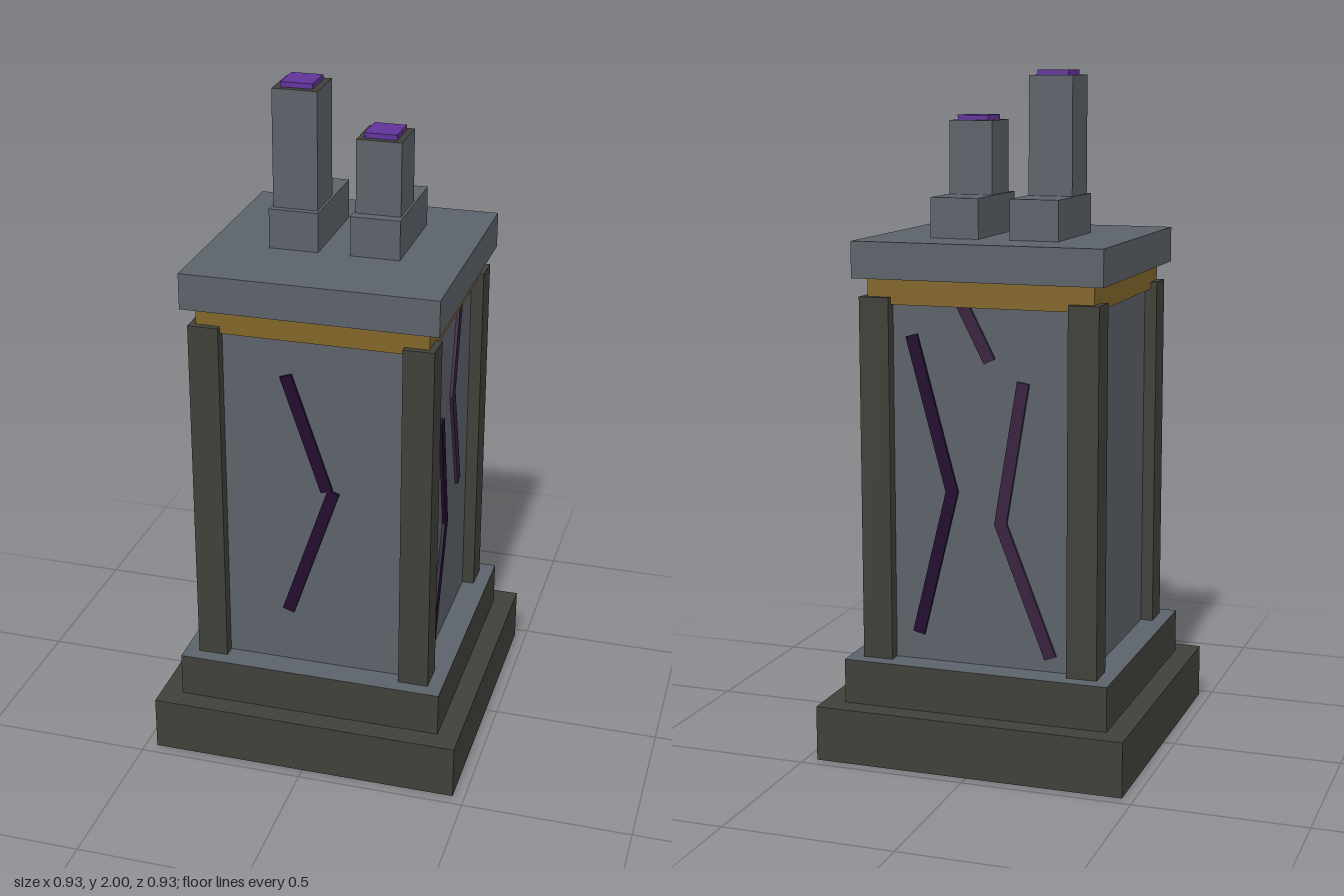
import * as THREE from 'three';

const mat = (name, color) => {
  const m = new THREE.MeshStandardMaterial({ color });
  m.name = name;
  return m;
};

export function createModel() {
  const model = new THREE.Group();
  model.name = 'furnaceTower';

  const darkStone = mat('darkStone', 0x40403a);
  const greyStone = mat('greyStone', 0x5c626a);
  const gold = mat('gold', 0x82662a);
  const glow = mat('purpleGlow', 0x613399);
  const deepCrack = mat('deepCrack', 0x220c2e);
  const paleCrack = mat('paleCrack', 0x38223f);

  // Box given by its min and max corners; the top may have its own colour
  function box(name, [x0, y0, z0], [x1, y1, z1], side, top = side, parent = model) {
    const geometry = new THREE.BoxGeometry(x1 - x0, y1 - y0, z1 - z0);
    const mesh = new THREE.Mesh(geometry, top === side ? side : [side, side, top, side, side, side]);
    mesh.position.set((x0 + x1) / 2, (y0 + y1) / 2, (z0 + z1) / 2);
    mesh.name = name;
    parent.add(mesh);
    return mesh;
  }
  const slab = (name, half, y0, y1, side, top) =>
    box(name, [-half, y0, -half], [half, y1, half], side, top);

  // Stepped foot, body, gold band and roof slab
  slab('baseStep', 0.465, 0, 0.163, darkStone);
  slab('upperStep', 0.4, 0.163, 0.295, darkStone, greyStone);
  slab('body', 0.32, 0.295, 1.342, greyStone);
  slab('goldBand', 0.338, 1.342, 1.417, gold);
  slab('roofSlab', 0.373, 1.417, 1.523, greyStone);

  // Corner pillars
  for (const sx of [-1, 1]) for (const sz of [-1, 1]) {
    const x = sx * 0.312, z = sz * 0.312, h = 0.045;
    box('cornerPillar', [x - h, 0.295, z - h], [x + h, 1.363, z + h], darkStone);
  }

  // Chimneys: footing, shaft with a dark rim, glowing vent
  function chimney(name, x, z, top) {
    const group = new THREE.Group();
    group.name = name;
    box('footing', [x - 0.073, 1.523, -0.213], [x + 0.073, 1.64, 0.106], greyStone, greyStone, group);
    box('shaft', [x - 0.066, 1.64, z - 0.073], [x + 0.066, top - 0.015, z + 0.073], greyStone, darkStone, group);
    box('vent', [x - 0.047, top - 0.015, z - 0.053], [x + 0.047, top, z + 0.053], glow, glow, group);
    model.add(group);
  }
  chimney('rightChimney', -0.121, 0.012, 2.0);
  chimney('leftChimney', 0.119, -0.001, 1.87);

  // Cracks: straight bars [u0, y0, u1, y1] on a wall turned about y
  function crack(name, turn, material, bars) {
    const group = new THREE.Group();
    group.name = name;
    group.rotation.y = turn;
    for (const [u0, y0, u1, y1] of bars) {
      const bar = new THREE.Mesh(
        new THREE.BoxGeometry(0.036, Math.hypot(u1 - u0, y1 - y0), 0.009), material);
      bar.position.set((u0 + u1) / 2, (y0 + y1) / 2, 0.3245);
      bar.rotation.z = Math.atan2(u0 - u1, y1 - y0);
      bar.name = 'crackBar';
      group.add(bar);
    }
    model.add(group);
  }
  const LEFT = Math.PI / 2, BACK = Math.PI;
  crack('frontCrack', 0, deepCrack, [[-0.08, 1.23, 0.04, 0.88], [0.06, 0.88, -0.08, 0.467]]);
  crack('leftCrackLow', LEFT, deepCrack, [[-0.108, 1.04, -0.03, 0.665], [-0.03, 0.675, -0.16, 0.323]]);
  crack('leftCrackHigh', LEFT, paleCrack, [[0.1, 1.35, 0.025, 1.065], [0.025, 1.075, 0.13, 0.735]]);
  crack('backCrackLong', BACK, deepCrack, [[-0.209, 1.255, -0.087, 0.8], [-0.087, 0.81, -0.194, 0.376]]);
  crack('backCrackPale', BACK, paleCrack, [[0.127, 1.134, 0.058, 0.715], [0.058, 0.725, 0.21, 0.337]]);
  crack('backCrackShort', BACK, paleCrack, [[-0.06, 1.36, 0.027, 1.19]]);

  return model;
}
